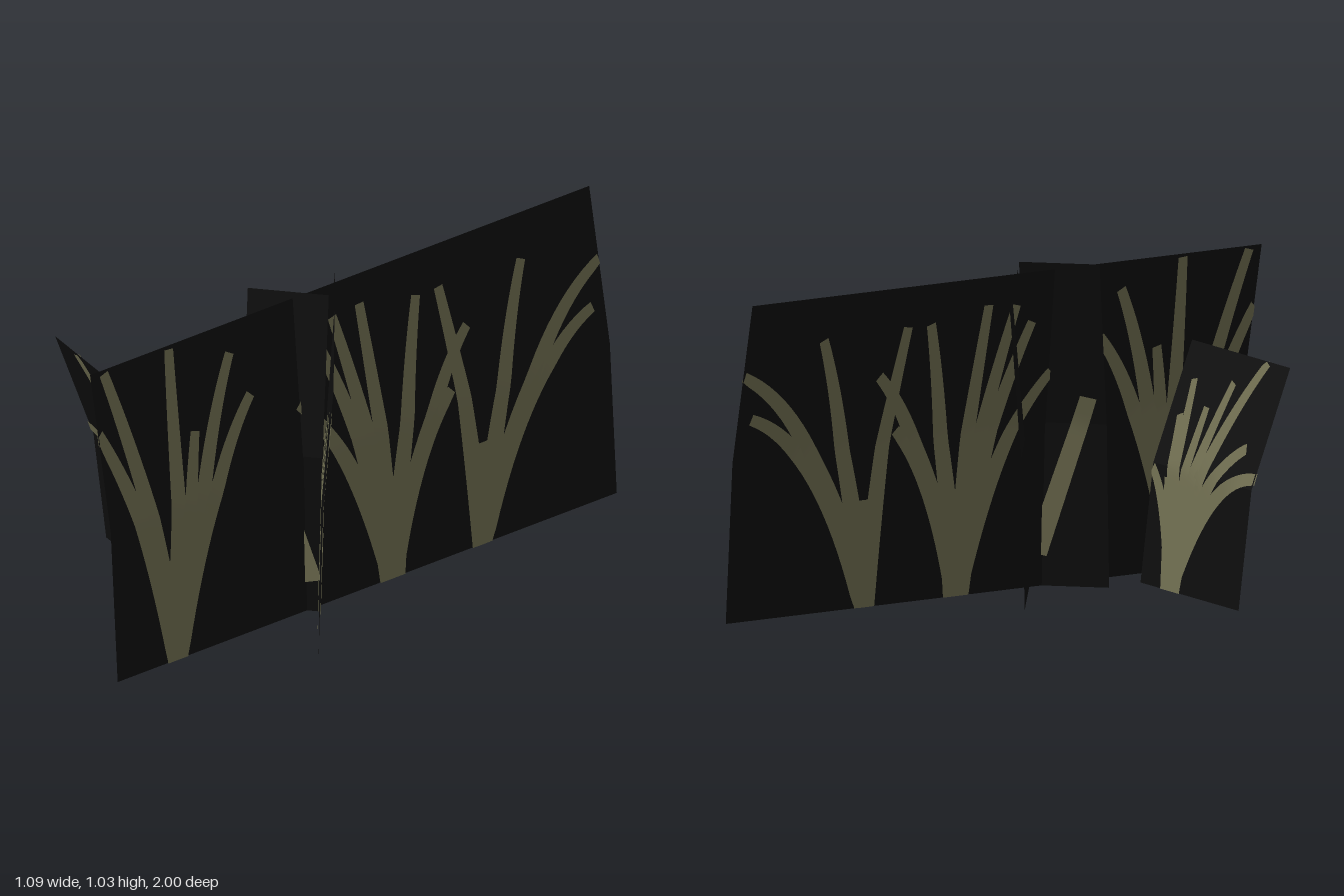
import * as THREE from 'three';

const dark = new THREE.MeshStandardMaterial({ color: 0x0d0d0d, side: THREE.DoubleSide });
dark.name = 'cardBlack';
const olive = new THREE.MeshStandardMaterial({ color: 0x6f6d50, side: THREE.DoubleSide });
olive.name = 'branchOlive';

const { clamp, lerp } = THREE.MathUtils;

// Point on a card folded at half height, pushed off its surface by offset
function cardPoint(card, u, v, offset = 0) {
  u = clamp(u, 0, 1);
  v = clamp(v, 0, 1);
  const fold = v < 0.5 ? v * 0.5 : 0.25 + (v - 0.5) * 1.5;
  const shift = card.lean.clone().multiplyScalar(fold + offset / card.lean.length());
  const p = card.a.clone().lerp(card.b, u).add(shift);
  return [p.x, v * card.height, p.y];
}

// Surface strip through pairs of points
function strip(pairs) {
  const index = [];
  for (let i = 0; i < pairs.length - 1; i++) {
    const k = i * 2;
    index.push(k, k + 1, k + 2, k + 1, k + 3, k + 2);
  }
  const geometry = new THREE.BufferGeometry();
  geometry.setAttribute('position', new THREE.Float32BufferAttribute(pairs.flat(2), 3));
  geometry.setIndex(index);
  geometry.computeVertexNormals();
  return geometry;
}

// Tapered ribbon along a curve, painted on both faces of the card
function paint(card, name, curve, startWidth, endWidth) {
  const steps = 20;
  for (const offset of [0.004, -0.004]) {
    const pairs = [];
    for (let i = 0; i <= steps; i++) {
      const t = i / steps;
      const p = curve.getPoint(t);
      const d = curve.getTangent(t);
      const half = lerp(startWidth, endWidth, t) / 2;
      pairs.push([-half, half].map((h) => cardPoint(card,
        (p.x - d.y * h - card.from) / (card.to - card.from),
        (p.y + d.x * h) / card.height, offset)));
    }
    const mesh = new THREE.Mesh(strip(pairs), olive);
    mesh.name = name;
    card.group.add(mesh);
  }
}

// Shrub: branches rise from one root and arch more the further they reach
function addShrub(card, root, width, tips) {
  const base = new THREE.Vector2(root, 0);
  for (const [s, y] of tips) {
    const reach = Math.min(1, Math.abs(s - root) / y);
    const control = new THREE.Vector2(lerp(root, s, 0.4), y * (0.5 + 0.45 * reach));
    const curve = new THREE.QuadraticBezierCurve(base, control, new THREE.Vector2(s, y));
    paint(card, 'branch', curve, 0.08, 0.035);
  }
  const trunk = new THREE.LineCurve(base, new THREE.Vector2(root, 0.34));
  paint(card, 'trunk', trunk, width, width * 1.8);
}

// Card: bottom edge a to b and lean of the top as (x, z); from/to is the span
// of the axis along which its shrubs are placed
function addCard(model, name, a, b, lean, height, from, to) {
  const group = new THREE.Group();
  group.name = name;
  model.add(group);
  const card = { group, a, b, lean, height, from, to };
  for (const [part, low, high] of [['lowerSheet', 0, 0.5], ['upperSheet', 0.5, 1]]) {
    const edges = [low, high].map((v) => [cardPoint(card, 0, v), cardPoint(card, 1, v)]);
    const sheet = new THREE.Mesh(strip(edges), dark);
    sheet.name = part;
    group.add(sheet);
  }
  return card;
}

export function createModel() {
  const model = new THREE.Group();
  model.name = 'shrubCards';
  const xz = (x, z) => new THREE.Vector2(x, z);

  // Long card with three shrubs
  const long = addCard(model, 'longCard', xz(0.275, 0.995), xz(0.18, -1), xz(-0.138, 0.003), 1.01, 1, -1);
  addShrub(long, 0.76, 0.08, [[0.95, 1], [1, 0.82], [0.69, 1], [0.63, 0.72], [0.46, 0.92], [0.4, 0.77]]);
  addShrub(long, -0.1, 0.1, [[0.22, 0.68], [0.12, 0.85], [0.05, 0.91], [-0.06, 0.92],
    [-0.28, 0.88], [-0.46, 0.73], [-0.37, 0.55]]);
  addShrub(long, -0.46, 0.06, [[-0.37, 0.88], [-0.7, 0.87], [-1, 0.78], [-0.95, 0.64]]);

  // Diagonal card crossing the long one
  const diagonal = addCard(model, 'diagonalCard', xz(-0.125, -0.085), xz(0.515, 0.4), xz(0.03, -0.035), 0.935, -0.12, 0.52);
  addShrub(diagonal, 0.33, 0.1, [[0.25, 0.6], [0.325, 0.72], [0.35, 0.72], [0.43, 0.65], [0.46, 0.8], [0.52, 0.43]]);

  // Narrow card with a single slanting branch
  const narrow = addCard(model, 'narrowCard', xz(0.08, 0.38), xz(0.27, 0.21), xz(-0.09, -0.1), 1.03, 0.06, 0.25);
  const slant = new THREE.LineCurve(xz(0.23, 0.1), xz(0.1, 0.6));
  paint(narrow, 'branch', slant, 0.05, 0.04);

  // Leaning side card with one wide shrub
  const side = addCard(model, 'sideCard', xz(-0.525, 0.44), xz(0.11, 0.52), xz(-0.022, 0.18), 0.745, -0.53, 0.105);
  addShrub(side, -0.09, 0.12, [[-0.53, 0.405], [-0.43, 0.485], [-0.4, 0.745], [-0.23, 0.66],
    [-0.115, 0.57], [0.01, 0.64], [0.03, 0.53], [0.1, 0.36]]);

  return model;
}
